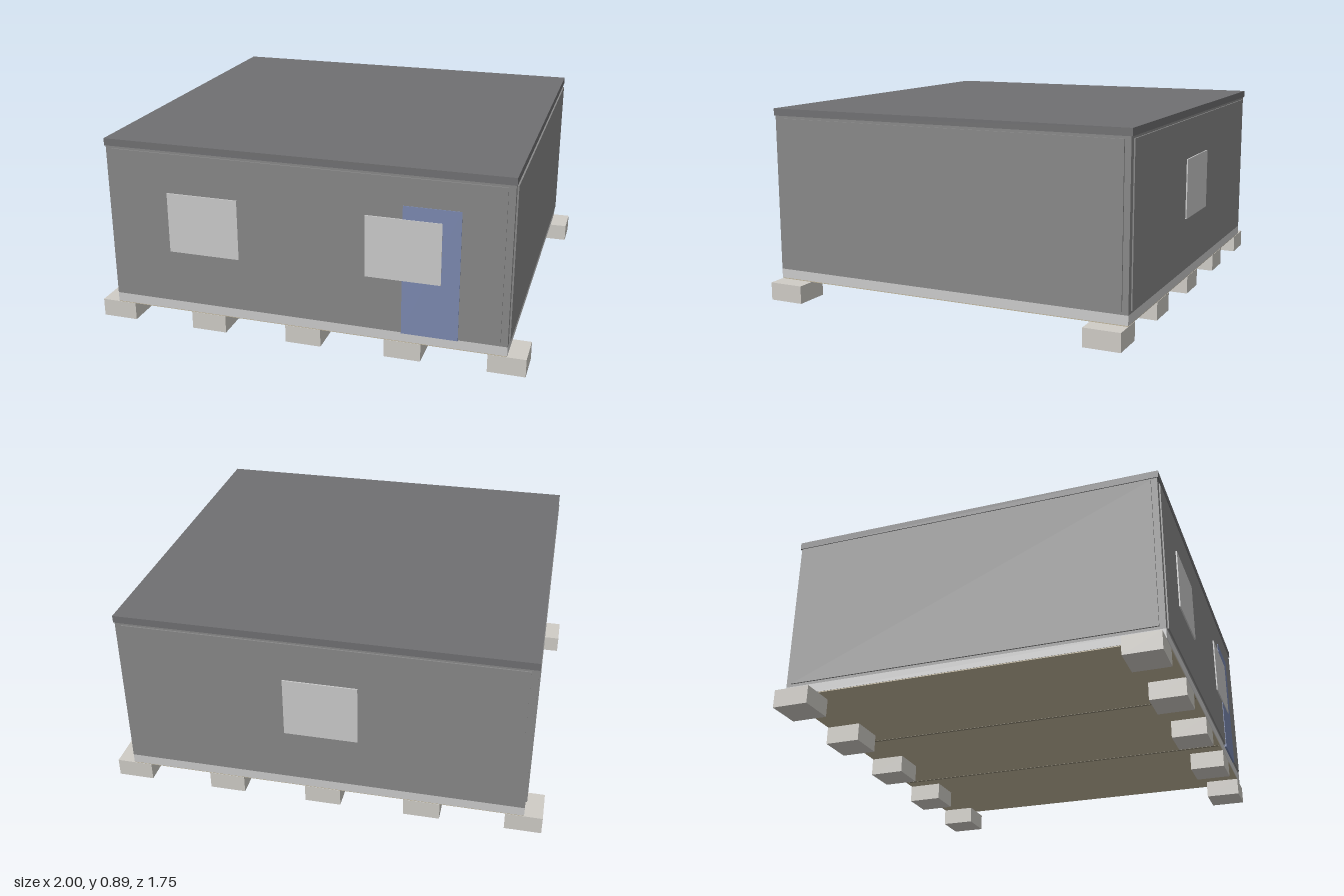
import * as THREE from 'three';

const mat = (color) => new THREE.MeshStandardMaterial({ color });

export function createModel() {
  const cabin = new THREE.Group();
  cabin.name = 'cabin';
  const concrete = mat(0xcfccc6), grey = mat(0xcccccc), wall = mat(0x888888);
  const roofing = mat(0x707072), timber = mat(0xbfb49a), seam = mat(0x8d8672), blue = mat(0x7b89b0);

  // Box given by its minimum and maximum corners
  const box = (name, material, [x0, y0, z0], [x1, y1, z1]) => {
    const mesh = new THREE.Mesh(new THREE.BoxGeometry(x1 - x0, y1 - y0, z1 - z0), material);
    mesh.position.set((x0 + x1) / 2, (y0 + y1) / 2, (z0 + z1) / 2);
    mesh.name = name;
    cabin.add(mesh);
  };

  // Two rows of five footing blocks
  for (const z of [-0.78, 0.78]) {
    for (let i = -2; i <= 2; i++) {
      const x = i * 0.4583;
      box('footing', concrete, [x - 0.083, 0, z - 0.083], [x + 0.083, 0.083, z + 0.083]);
    }
  }

  // Floor frame with a boarded underside and two seams
  box('floorFrame', grey, [-0.917, 0.087, -0.863], [0.917, 0.13, 0.863]);
  box('floorUnderside', timber, [-0.915, 0.083, -0.861], [0.915, 0.087, 0.861]);
  for (const x of [-0.306, 0.306]) {
    box('floorSeam', seam, [x - 0.006, 0.082, -0.86], [x + 0.006, 0.084, 0.86]);
  }

  // Wall frame, with a raised panel on each side
  box('wallFrame', wall, [-0.917, 0.13, -0.863], [0.917, 0.855, 0.863]);
  for (const s of [-1, 1]) {
    const [x0, x1] = [s * 0.91, s * 0.924].sort((a, b) => a - b);
    box('sidePanel', wall, [x0, 0.143, -0.836], [x1, 0.843, 0.836]);
    const [z0, z1] = [s * 0.855, s * 0.869].sort((a, b) => a - b);
    box('endPanel', wall, [-0.887, 0.143, z0], [0.887, 0.843, z1]);
  }

  // Flat roof slab
  box('roof', roofing, [-0.921, 0.855, -0.869], [0.921, 0.888, 0.869]);

  // Door and windows, standing just proud of the walls
  box('door', blue, [0.455, 0.13, 0.86], [0.705, 0.72, 0.872]);
  for (const x of [-0.458, 0.458]) {
    box('frontWindow', grey, [x - 0.167, 0.38, 0.86], [x + 0.167, 0.66, 0.875]);
  }
  box('backWindow', grey, [-0.167, 0.38, -0.875], [0.167, 0.66, -0.86]);

  return cabin;
}
